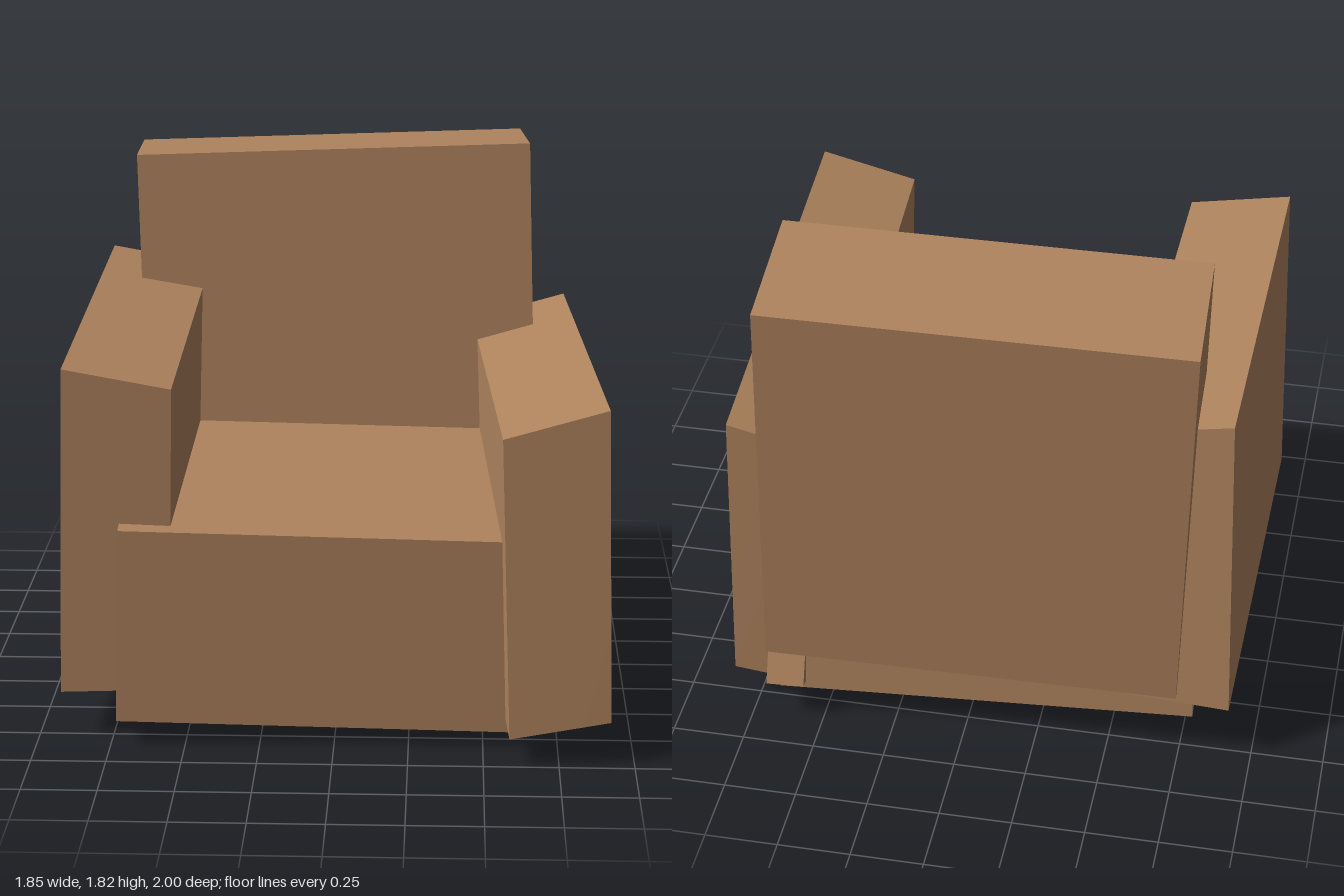
import * as THREE from 'three';

const leather = new THREE.MeshStandardMaterial({ color: 0xb0845e });
leather.name = 'tan leather';

// Crooked block: four front corners (top left, top right, bottom right, bottom left
// as seen from the front) swept along a vector to the back.
function block(name, [tl, tr, br, bl], back) {
  const corner = (p) => new THREE.Vector3(...p);
  const geometry = new THREE.BoxGeometry(1, 1, 1);
  const pos = geometry.attributes.position;
  for (let i = 0; i < pos.count; i++) {
    const top = corner(tl).lerp(corner(tr), pos.getX(i) + 0.5);
    const point = corner(bl).lerp(corner(br), pos.getX(i) + 0.5).lerp(top, pos.getY(i) + 0.5);
    point.addScaledVector(corner(back), 0.5 - pos.getZ(i));
    pos.setXYZ(i, point.x, point.y, point.z);
  }
  geometry.computeVertexNormals();
  const mesh = new THREE.Mesh(geometry, leather);
  mesh.name = name;
  return mesh;
}

// Small tilted foot
function foot(name, size, position, rotation) {
  const mesh = new THREE.Mesh(new THREE.BoxGeometry(...size), leather);
  mesh.position.set(...position);
  mesh.rotation.set(...rotation);
  mesh.name = name;
  return mesh;
}

export function createModel() {
  const group = new THREE.Group();
  group.name = 'armchair';

  group.add(
    // Seat
    block('seat',
      [[-0.71, 0.765, 0.877], [0.74, 0.72, 0.822], [0.72, 0.045, 0.8], [-0.73, 0.09, 0.855]],
      [-0.062, 0.058, -1.62]),
    // Backrest
    block('backrest',
      [[-0.76, 1.78, -0.42], [0.66, 1.82, -0.485], [0.704, 0.36, -0.39], [-0.716, 0.32, -0.325]],
      [-0.025, -0.035, -0.515]),
    // Armrests
    block('rightArmrest',
      [[-0.89, 1.3, 0.83], [-0.53, 1.235, 0.83], [-0.555, 0.175, 0.775], [-0.925, 0.16, 0.77]],
      [0.005, 0.075, -1.58]),
    block('leftArmrest',
      [[0.55, 1.12, 0.985], [0.893, 1.215, 0.968], [0.92, 0.155, 0.98], [0.585, 0.1, 1]],
      [-0.09, -0.022, -1.763]),
    // Feet
    foot('leftFrontFoot', [0.125, 0.14, 0.125], [0.565, 0.082, 0.272], [0.02, 0, -0.13]),
    foot('rightBackFoot', [0.18, 0.15, 0.15], [-0.697, 0.133, -0.52], [-0.03, 0.03, -0.02]),
    foot('leftBackFoot', [0.13, 0.15, 0.12], [0.63, 0.21, -0.8], [0.38, 0.1, 0]),
  );
  return group;
}
